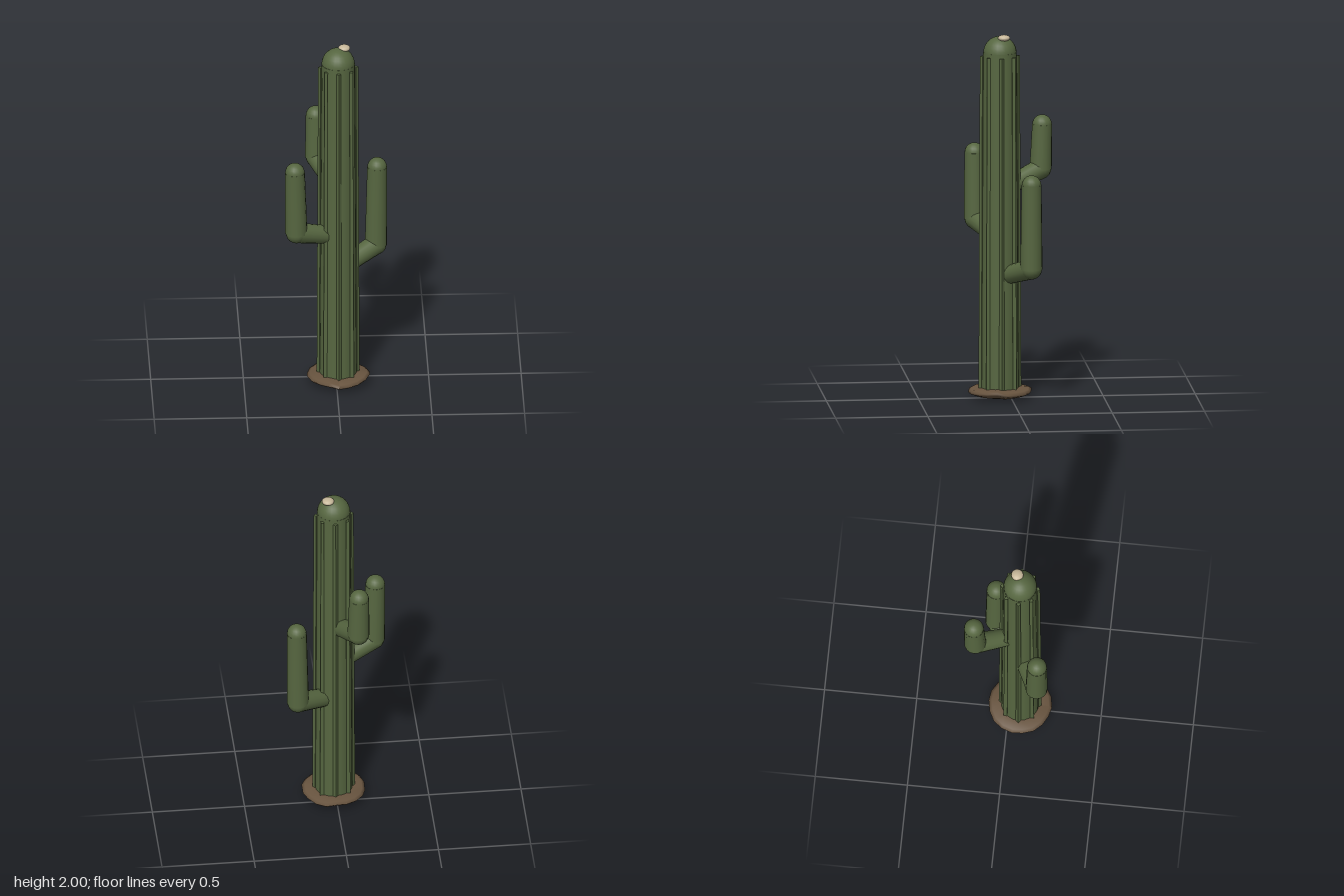
import * as THREE from 'three';

const green = new THREE.MeshStandardMaterial({ color: 0x566640 });
green.name = 'cactus green';
const soil = new THREE.MeshStandardMaterial({ color: 0x68543f });
soil.name = 'soil brown';
const cream = new THREE.MeshStandardMaterial({ color: 0xc6b799 });
cream.name = 'flower cream';

const CX = 0.01, CZ = 0.06; // trunk axis

function add(parent, name, geometry, material, x = 0, y = 0, z = 0) {
  const mesh = new THREE.Mesh(geometry, material);
  mesh.name = name;
  mesh.position.set(x, y, z);
  parent.add(mesh);
  return mesh;
}

// Tapered cylinder between two points
function limb(parent, name, a, b, ra, rb, sides = 16) {
  const dir = b.clone().sub(a);
  const mesh = add(parent, name, new THREE.CylinderGeometry(rb, ra, dir.length(), sides), green);
  mesh.position.copy(a).lerp(b, 0.5);
  mesh.quaternion.setFromUnitVectors(new THREE.Vector3(0, 1, 0), dir.normalize());
  return mesh;
}

// Arm: sloping branch, rounded elbow, upright and domed tip
function arm(name, start, elbow, tip) {
  const group = new THREE.Group();
  group.name = name;
  const [s, e, t] = [start, elbow, tip].map((p) => new THREE.Vector3(...p));
  limb(group, 'branch', s, e, 0.05, 0.056);
  add(group, 'elbow', new THREE.SphereGeometry(0.057, 18, 12), green, ...elbow);
  limb(group, 'upright', e, t, 0.06, 0.054);
  add(group, 'tip', new THREE.SphereGeometry(0.053, 18, 12), green, ...tip);
  return group;
}

// Shallow soil mound with an uneven rim
function moundGeometry() {
  const profile = [[0, 0], [0.06, 0.004], [0.12, 0.016], [0.16, 0.032], [0.172, 0.045],
    [0.155, 0.055], [0.11, 0.061], [0, 0.065]].map(([r, y]) => new THREE.Vector2(r, y));
  const g = new THREE.LatheGeometry(profile, 18);
  const p = g.attributes.position;
  for (let i = 0; i < p.count; i++) {
    const x = p.getX(i), z = p.getZ(i);
    const r = Math.hypot(x, z) / 0.172, a = Math.atan2(z, x);
    const k = 1 + 0.012 * Math.sin(5 * a + 1);
    const lift = 0.006 * r * r * (Math.sin(3 * a + 0.6) + 0.6 * Math.sin(7 * a));
    p.setXYZ(i, x * k, p.getY(i) + lift, z * k);
  }
  g.computeVertexNormals();
  return g;
}

export function createModel() {
  const model = new THREE.Group();
  model.name = 'cactus';

  add(model, 'soilMound', moundGeometry(), soil, CX, 0, CZ);

  // Trunk with domed crown
  add(model, 'trunk', new THREE.CylinderGeometry(0.091, 0.102, 1.87, 20), green, CX, 0.965, CZ);
  add(model, 'crown', new THREE.SphereGeometry(0.09, 24, 16), green, CX, 1.897, CZ);

  // Eight vertical ribs around the trunk
  const ribs = new THREE.Group();
  ribs.name = 'ribs';
  for (let i = 0; i < 8; i++) {
    const a = (i * Math.PI) / 4;
    const c = Math.cos(a), s = Math.sin(a);
    const rib = limb(ribs, 'rib',
      new THREE.Vector3(CX + 0.102 * c, 0.04, CZ + 0.102 * s),
      new THREE.Vector3(CX + 0.096 * c, 1.88, CZ + 0.096 * s), 0.014, 0.0125, 4);
    rib.rotateY(-a);
    rib.geometry = rib.geometry.toNonIndexed();
    rib.geometry.computeVertexNormals();
  }
  model.add(ribs);

  // Three arms at different heights
  model.add(
    arm('leftArm', [0.06, 0.685, 0.02], [0.22, 0.745, -0.09], [0.226, 1.207, -0.09]),
    arm('rightArm', [-0.06, 0.895, 0.095], [-0.22, 0.945, 0.172], [-0.228, 1.307, 0.175]),
    arm('backArm', [-0.025, 1.17, -0.015], [-0.1, 1.235, -0.172], [-0.103, 1.478, -0.18]),
  );

  // Flower bud on the crown
  const bud = add(model, 'flowerBud', new THREE.SphereGeometry(0.033, 18, 12), cream, CX + 0.033, 1.983, CZ - 0.019);
  bud.scale.y = 0.52;

  return model;
}
